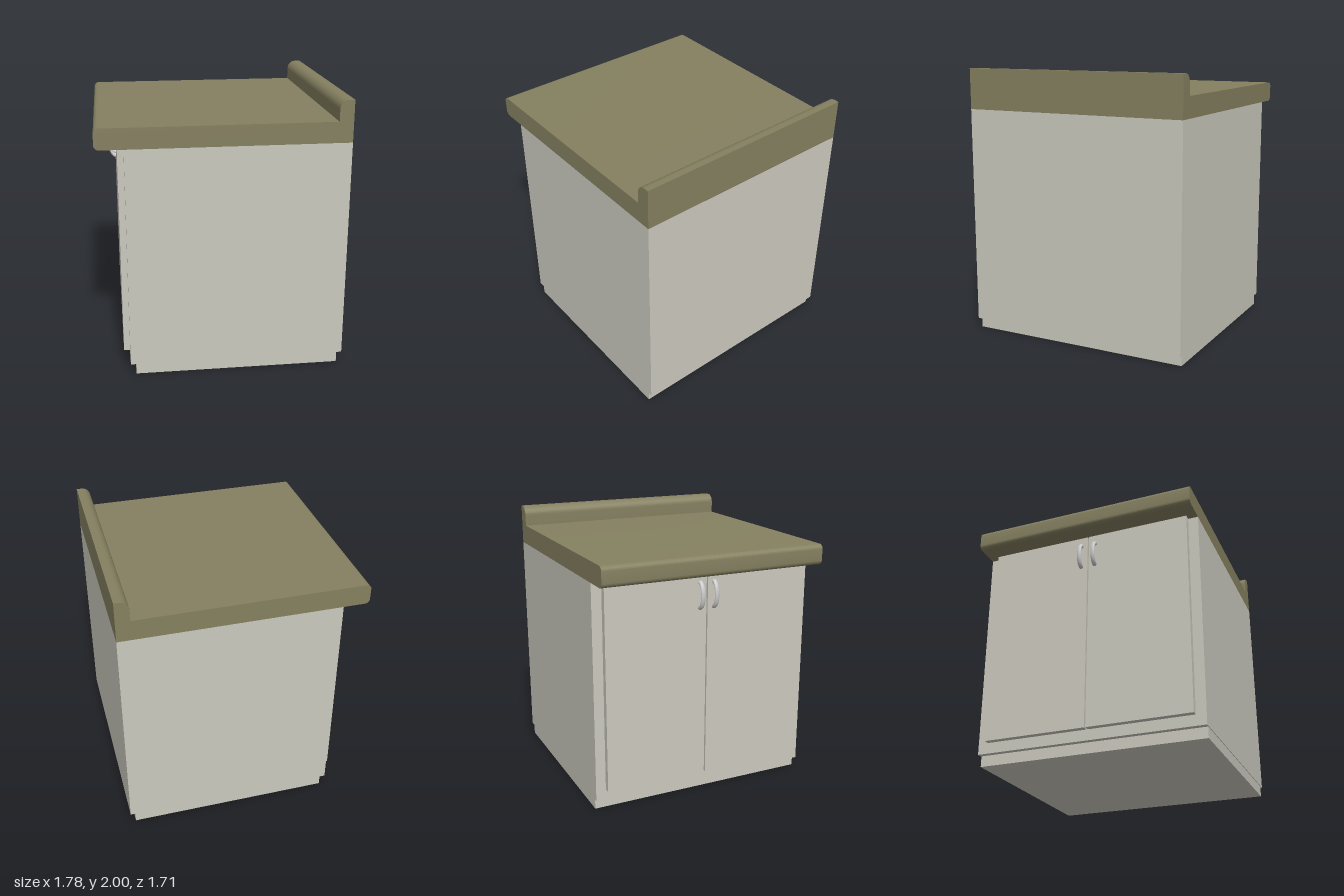
import * as THREE from 'three';
import { toCreasedNormals } from 'three/addons/utils/BufferGeometryUtils.js';

const counterMat = new THREE.MeshStandardMaterial({ color: 0x858060 });
const cabinetMat = new THREE.MeshStandardMaterial({ color: 0xcbc9be });
const handleMat = new THREE.MeshStandardMaterial({ color: 0xcccccc });

const DEPTH = 1.71; // extent along z

// Box given by its minimum and maximum corners
function box(name, min, max, material) {
  const size = max.map((v, i) => v - min[i]);
  const mesh = new THREE.Mesh(new THREE.BoxGeometry(...size), material);
  mesh.position.set(...max.map((v, i) => (v + min[i]) / 2));
  mesh.name = name;
  return mesh;
}

// Countertop and backsplash as one profile in x/y, swept along z
function makeCountertop() {
  const r = 0.035, R = 0.065;
  const left = -0.89, right = 0.887, bottom = 1.7, top = 1.85, splash = 0.785;
  const s = new THREE.Shape();
  s.moveTo(left + r, bottom);
  s.lineTo(right, bottom);
  s.lineTo(right, 2);
  s.lineTo(splash + R, 2);
  s.absarc(splash + R, 2 - R, R, Math.PI / 2, Math.PI, false);
  s.lineTo(splash, top);
  s.lineTo(left + r, top);
  s.absarc(left + r, top - r, r, Math.PI / 2, Math.PI, false);
  s.absarc(left + r, bottom + r, r, Math.PI, Math.PI * 1.5, false);
  const geo = new THREE.ExtrudeGeometry(s, { depth: DEPTH, bevelEnabled: false, curveSegments: 8 });
  geo.translate(0, 0, -DEPTH / 2);
  const mesh = new THREE.Mesh(toCreasedNormals(geo, 0.6), counterMat);
  mesh.name = 'countertop';
  return mesh;
}

// Half-ring pull, flattened towards the door
function makeHandle(side) {
  const geo = new THREE.TorusGeometry(0.09, 0.017, 12, 24, Math.PI);
  geo.rotateZ(Math.PI / 2);
  geo.scale(0.52, 1, 1);
  const mesh = new THREE.Mesh(geo, handleMat);
  mesh.position.set(-0.735, 1.538, side * 0.055);
  mesh.name = side > 0 ? 'frontHandle' : 'backHandle';
  return mesh;
}

export function createModel() {
  const model = new THREE.Group();
  model.name = 'baseCabinet';
  const h = DEPTH / 2;

  model.add(box('plinth', [-0.65, 0, -h + 0.005], [0.85, 0.08, h - 0.005], cabinetMat));
  model.add(box('carcass', [-0.69, 0.08, -h], [0.887, 1.7, h], cabinetMat));
  model.add(makeCountertop());

  // Pair of doors with a narrow gap, each with its pull
  for (const side of [-1, 1]) {
    const a = side * 0.005, b = side * 0.78;
    const name = side > 0 ? 'frontDoor' : 'backDoor';
    model.add(box(name, [-0.735, 0.16, Math.min(a, b)], [-0.69, 1.7, Math.max(a, b)], cabinetMat));
    model.add(makeHandle(side));
  }
  return model;
}
